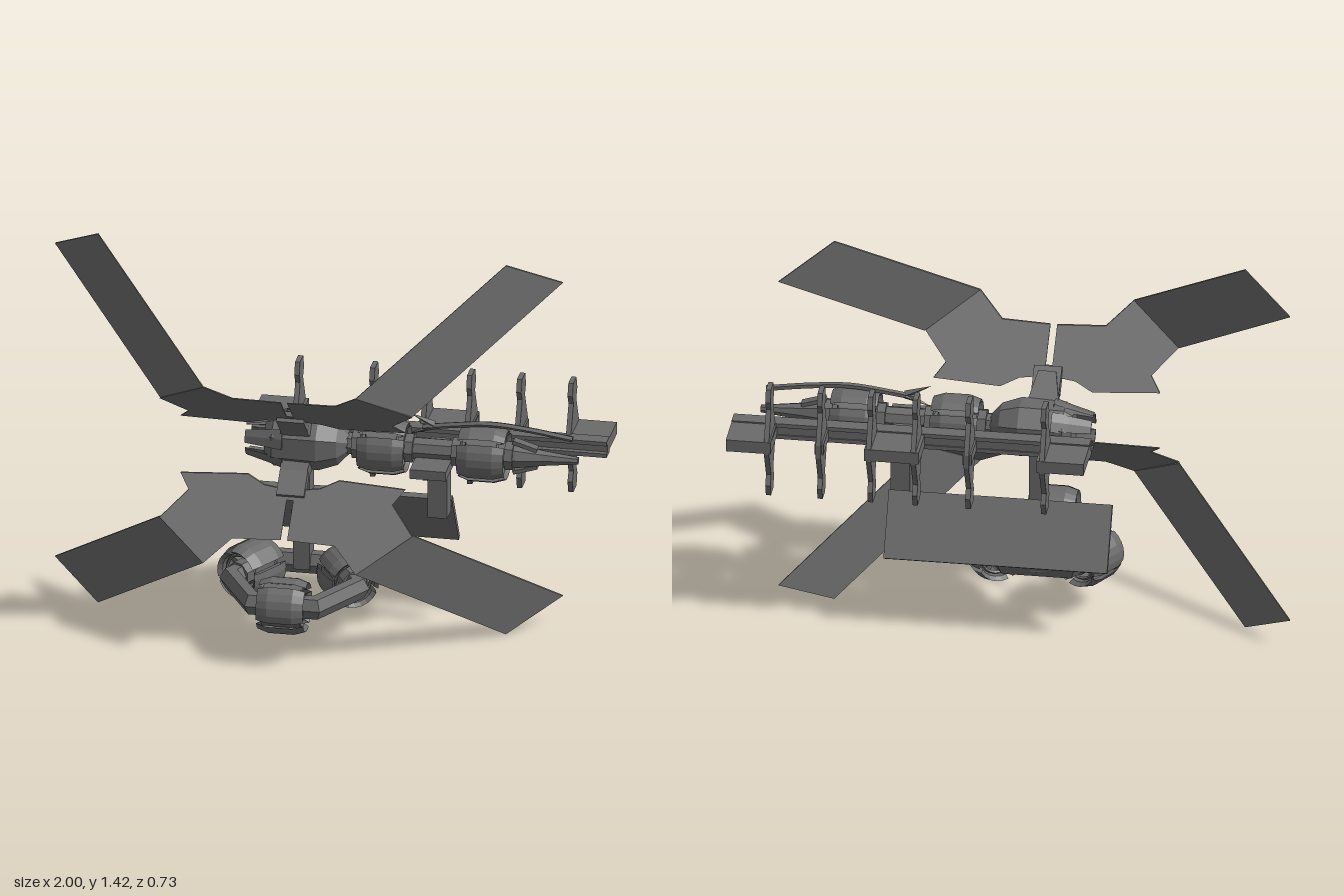
import * as THREE from 'three';

const mat = new THREE.MeshStandardMaterial({ color: 0x6a6a6a, flatShading: true, side: THREE.DoubleSide });
const CX = -0.085, CY = 0.72, AZ = -0.055; // wing symmetry axis and main shaft height / depth

function add(parent, name, geo, x = 0, y = 0, z = 0) {
  const m = new THREE.Mesh(geo, mat);
  m.name = name;
  m.position.set(x, y, z);
  parent.add(m);
  return m;
}

function box(parent, name, x0, x1, y0, y1, z0, z1) {
  return add(parent, name, new THREE.BoxGeometry(x1 - x0, y1 - y0, z1 - z0),
    (x0 + x1) / 2, (y0 + y1) / 2, (z0 + z1) / 2);
}

// Revolved solid lying along +x; profile is [x, radius]
function latheX(profile, sides, start = 0, arc = Math.PI * 2) {
  const pts = profile.map(([x, r]) => new THREE.Vector2(r, -x)).reverse();
  return new THREE.LatheGeometry(pts, sides, start, arc).rotateZ(Math.PI / 2);
}

// Thin sheet drawn in x/y, then bent to depth by a rule
function sheet(points, depthAt, thickness = 0.008) {
  const geo = new THREE.ExtrudeGeometry(new THREE.Shape(points.map(p => new THREE.Vector2(...p))),
    { depth: thickness, bevelEnabled: false });
  const p = geo.attributes.position;
  for (let i = 0; i < p.count; i++) {
    p.setZ(i, p.getZ(i) - thickness / 2 + depthAt(p.getX(i), p.getY(i)));
  }
  geo.computeVertexNormals();
  return geo;
}

// Drum of four curved shells around a hub, axis along x
function drum(name, filled) {
  const g = new THREE.Group();
  g.name = name;
  const shell = [[-0.07, 0.076], [-0.085, 0.088], [-0.045, 0.101], [0.045, 0.101], [0.085, 0.088], [0.07, 0.076], [-0.07, 0.076]];
  for (let i = 0; i < 4; i++) {
    const a = i * Math.PI / 2;
    add(g, 'drumShell', latheX(shell, 5, a + 0.1, Math.PI / 2 - 0.2));
    const spoke = add(g, 'spoke', new THREE.BoxGeometry(0.05, 0.06, 0.018));
    spoke.geometry.translate(0, 0.055, 0);
    spoke.rotation.x = a + Math.PI / 4;
  }
  for (const x of [-0.055, 0.055]) {
    add(g, 'innerRing', new THREE.TorusGeometry(0.067, 0.006, 4, 20).rotateY(Math.PI / 2), x);
  }
  add(g, 'hub', new THREE.CylinderGeometry(0.048, 0.048, 0.15, 8).rotateZ(Math.PI / 2));
  if (filled) add(g, 'core', new THREE.CylinderGeometry(0.08, 0.08, 0.11, 16).rotateZ(Math.PI / 2));
  return g;
}

function addWings(root) {
  const inner = [[0.012, 0.265], [0.185, 0.27], [0.275, 0.34], [0.455, 0.23], [0.367, 0.152],
    [0.405, 0.11], [0.165, 0.1], [0.1, 0.125], [0, 0.135], [0, 0.16], [0.012, 0.16]];
  const outer = [[0.275, 0.34], [0.735, 0.712], [0.915, 0.605], [0.455, 0.23]];
  for (const sx of [1, -1]) for (const sy of [1, -1]) {
    const wing = new THREE.Group();
    wing.name = (sy > 0 ? 'upper' : 'lower') + (sx > 0 ? 'Left' : 'Right') + 'Wing';
    wing.position.set(CX, CY, 0);
    wing.scale.set(sx, sy, 1);
    add(wing, 'innerPanel', sheet(inner, (x, y) => 0.317 + (y - 0.34) * 1.1));
    add(wing, 'outerPanel', sheet(outer, (x, y) => 0.317 - (x - 0.275) * 0.804 - (y - 0.34) * 0.134));
    root.add(wing);
  }
  // Brackets joining each wing pair to the body
  for (const s of [1, -1]) {
    const bracket = add(root, 'wingBracket',
      new THREE.CylinderGeometry(0.045, 0.085, 0.14, 4).rotateY(Math.PI / 4).scale(1, 1, 0.6), CX, CY + s * 0.1, 0.035);
    bracket.rotation.x = s > 0 ? 0.8 : Math.PI - 0.8;
    const clamp = box(root, 'wingClamp', -0.05, 0.05, -0.02, 0.02, -0.05, 0.05);
    clamp.position.set(CX, CY + s * 0.122, 0.072);
    clamp.rotation.x = -s * 0.74;
  }
}

function addBody(root) {
  const body = new THREE.Group();
  body.name = 'body';
  body.position.set(0, CY, AZ);
  root.add(body);
  add(body, 'mainHull', latheX([[-0.2, 0], [-0.2, 0.075], [-0.17, 0.1], [-0.01, 0.105], [0.06, 0.08], [0.1, 0.035], [0.1, 0]], 8, Math.PI / 8));
  // Tail petals
  for (let i = 0; i < 6; i++) {
    const petal = add(body, 'tailPetal', latheX([[-0.27, 0.068], [-0.19, 0.09], [-0.13, 0.109], [-0.13, 0.095], [-0.19, 0.072], [-0.27, 0.062]], 2, 0, 0.7));
    petal.rotation.x = i * Math.PI / 3;
  }
  add(body, 'shaft', new THREE.CylinderGeometry(0.042, 0.042, 0.6, 8).rotateZ(Math.PI / 2), 0.36);
  for (const x of [0.22, 0.58]) {
    const d = drum('bodyDrum', true);
    d.position.x = x;
    d.rotation.x = Math.PI / 4;
    body.add(d);
    for (const s of [-1, 1]) {
      add(body, 'collar', new THREE.CylinderGeometry(0.055, 0.055, 0.03, 8).rotateZ(Math.PI / 2), x + s * 0.095);
    }
  }
  add(body, 'nose', latheX([[0.64, 0.05], [0.7, 0.046], [0.79, 0.03], [0.92, 0.014], [0.92, 0]], 8));
  // Arched rail with prongs over the shaft
  const arch = new THREE.CatmullRomCurve3([[0.36, 0.085], [0.46, 0.1], [0.6, 0.115], [0.74, 0.105], [0.9, 0.082]]
    .map(([x, y]) => new THREE.Vector3(x, y, 0)));
  add(body, 'archedRail', new THREE.TubeGeometry(arch, 16, 0.011, 5));
  for (const s of [-1, 1]) {
    const prong = add(body, 'prong', new THREE.ConeGeometry(0.014, 0.1, 4).rotateZ(Math.PI / 2), 0.355, 0.095 + s * 0.022, 0);
    prong.rotation.z = -s * 0.4;
    const claw = add(body, 'noseClaw', new THREE.BoxGeometry(0.09, 0.014, 0.035), 0.73, s * 0.045, 0);
    claw.rotation.z = -s * 0.3;
  }
}

function addSpine(root) {
  // Grooved beam
  box(root, 'spineCore', -0.28, 1, 0.695, 0.745, -0.215, -0.185);
  box(root, 'spineUpperRail', -0.28, 1, 0.735, 0.75, -0.22, -0.165);
  box(root, 'spineLowerRail', -0.28, 1, 0.69, 0.705, -0.22, -0.165);
  for (const [a, b] of [[-0.28, -0.11], [0.31, 0.505], [0.84, 1]]) {
    box(root, 'spineBlock', a, b, 0.7, 0.745, -0.36, -0.19);
  }
  // Diamond fins with flared tips
  const half = [[0.21, 0.03], [0.165, 0.045], [0.13, 0.026], [0.09, 0.045], [0.025, 0.077]];
  const mirrored = [...half].reverse();
  const outline = [
    ...half.map(([y, w]) => [w, y]), ...mirrored.map(([y, w]) => [w, -y]),
    ...half.map(([y, w]) => [-w, -y]), ...mirrored.map(([y, w]) => [-w, y]),
  ];
  for (const x of [-0.13, 0.14, 0.33, 0.49, 0.67, 0.855]) {
    const fin = add(root, 'spineFin', sheet(outline, () => 0, 0.018), x, CY, -0.28);
    fin.rotation.y = Math.PI / 2;
    box(root, 'finMount', x - 0.016, x + 0.016, 0.7, 0.74, -0.34, -0.2);
  }
}

function addUndercarriage(root) {
  box(root, 'mainStrut', CX - 0.03, CX + 0.03, 0.2, 0.68, -0.165, -0.09);
  box(root, 'strutBand', CX - 0.036, CX + 0.036, 0.385, 0.43, -0.17, -0.085);
  box(root, 'sideStrut', 0.37, 0.44, 0.44, 0.72, -0.165, -0.09);
  box(root, 'sideArm', 0.34, 0.47, 0.665, 0.7, -0.2, 0.09);
  // Tilted rear panel, its top edge resting on the struts
  const panel = add(root, 'rearPanel', new THREE.BoxGeometry(0.8, 0.245, 0.02), 0.045, 0.385, -0.229);
  panel.rotation.x = 0.55;

  // Three drums on a six-sided ring
  const cluster = new THREE.Group();
  cluster.name = 'drumCluster';
  cluster.position.set(CX + 0.005, 0.215, 0.065);
  root.add(cluster);
  add(cluster, 'hexRing', new THREE.TorusGeometry(0.228, 0.043, 6, 6).rotateX(Math.PI / 2));
  for (let i = 0; i < 3; i++) {
    const arm = new THREE.Group();
    arm.name = 'drumArm';
    arm.rotation.y = i * Math.PI * 2 / 3;
    const d = drum('ringDrum', false);
    d.position.z = 0.2;
    d.rotation.x = 0.4;
    arm.add(d);
    cluster.add(arm);
  }
}

export function createModel() {
  const root = new THREE.Group();
  root.name = 'wingedStation';
  addWings(root);
  addBody(root);
  addSpine(root);
  addUndercarriage(root);
  return root;
}
